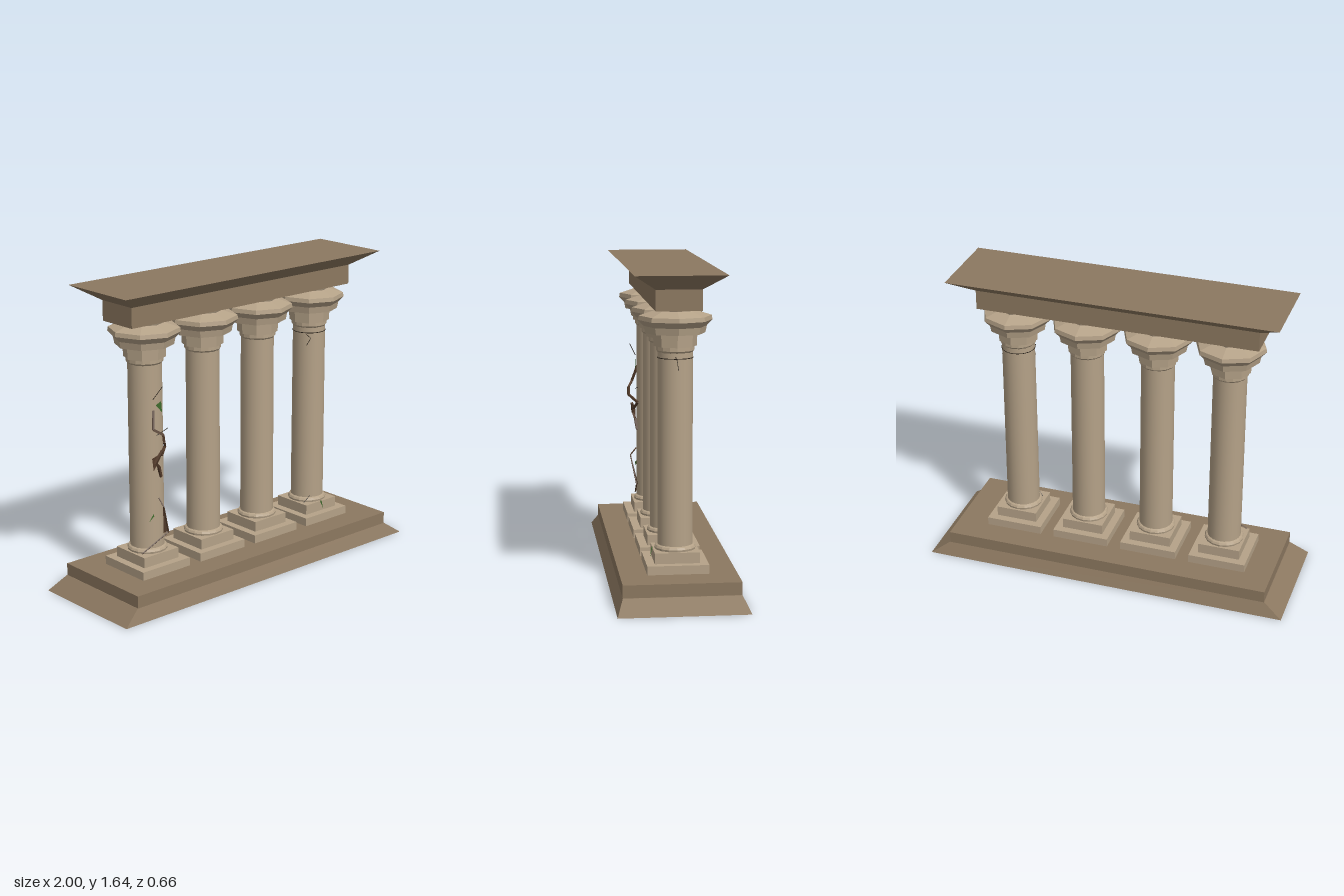
import * as THREE from 'three';

const mat = (name, color) => {
  const m = new THREE.MeshStandardMaterial({ color });
  m.name = name;
  return m;
};

export function createModel() {
  const stone = mat('brownStone', 0x8c7860);
  const pale = mat('paleStone', 0xb5a288);
  const bark = mat('vineBark', 0x553d2c);
  const green = mat('leafGreen', 0x3f6a2c);
  const dark = mat('crackDark', 0x2c251d);
  green.side = THREE.DoubleSide;
  bark.side = THREE.DoubleSide;

  const model = new THREE.Group();
  model.name = 'colonnade';

  const add = (parent, name, geometry, material, x = 0, y = 0, z = 0) => {
    const mesh = new THREE.Mesh(geometry, material);
    mesh.name = name;
    mesh.position.set(x, y, z);
    parent.add(mesh);
    return mesh;
  };
  const faceted = (geometry) => {
    const g = geometry.toNonIndexed();
    g.computeVertexNormals();
    return g;
  };
  // Box from y0 to y1 whose top and bottom have their own half sizes
  const slab = (y0, y1, bx, bz, tx = bx, tz = bz) => {
    const g = new THREE.BoxGeometry(2, 1, 2);
    const p = g.attributes.position;
    for (let i = 0; i < p.count; i++) {
      const top = p.getY(i) > 0;
      p.setXYZ(i, p.getX(i) * (top ? tx : bx), top ? y1 : y0, p.getZ(i) * (top ? tz : bz));
    }
    g.computeVertexNormals();
    return g;
  };
  const lathe = (points, sides) =>
    faceted(new THREE.LatheGeometry(points.map(([r, y]) => new THREE.Vector2(r, y)), sides));

  // Stepped base
  add(model, 'baseSkirt', slab(0, 0.07, 1, 0.328, 0.9, 0.295), stone);
  add(model, 'baseStep', slab(0.07, 0.135, 0.897, 0.295), stone);

  // Beam and flared cornice
  add(model, 'beam', slab(1.455, 1.56, 0.757, 0.115), stone, -0.007, 0, 0.003);
  add(model, 'cornice', slab(1.56, 1.637, 0.757, 0.115, 0.88, 0.227), stone, -0.007, 0, 0.003);

  // Four columns
  const columnX = [-0.594, -0.207, 0.181, 0.568];
  const shaft = new THREE.CylinderGeometry(0.088, 0.09, 1.02, 24, 1, true);
  const foot = lathe([[0.09, 0.235], [0.104, 0.235], [0.106, 0.245], [0.1, 0.255], [0.09, 0.26]], 16);
  const collar = lathe([[0.088, 1.235], [0.096, 1.245], [0.096, 1.265]], 16);
  const capital = lathe([
    [0, 1.265], [0.108, 1.265], [0.111, 1.33], [0.151, 1.33], [0.158, 1.365], [0.186, 1.395],
    [0.182, 1.417], [0.115, 1.438], [0.103, 1.443], [0.108, 1.456],
  ], 8);
  columnX.forEach((x) => {
    const column = new THREE.Group();
    column.name = 'column';
    column.position.set(x, 0, 0.002);
    model.add(column);
    add(column, 'lowerPlinth', slab(0.135, 0.18, 0.156, 0.156), pale);
    add(column, 'upperPlinth', slab(0.18, 0.235, 0.114, 0.114), pale);
    add(column, 'footRing', foot, pale);
    add(column, 'shaft', shaft, pale, 0, 0.755, 0);
    add(column, 'collar', collar, pale);
    add(column, 'capital', capital, pale);
  });

  // Straight rods joining a row of points
  const rods = (name, points, radius, material) => {
    const group = new THREE.Group();
    group.name = name;
    model.add(group);
    const v = points.map((p) => new THREE.Vector3(...p));
    for (let i = 1; i < v.length; i++) {
      const d = v[i].clone().sub(v[i - 1]);
      const g = faceted(new THREE.CylinderGeometry(radius, radius, d.length(), 4));
      const rod = add(group, name + 'Piece', g, material);
      rod.position.copy(v[i]).add(v[i - 1]).multiplyScalar(0.5);
      rod.quaternion.setFromUnitVectors(new THREE.Vector3(0, 1, 0), d.normalize());
    }
  };
  const triangle = (name, points, material) => {
    const g = new THREE.BufferGeometry();
    g.setAttribute('position', new THREE.Float32BufferAttribute(points.flat(), 3));
    g.computeVertexNormals();
    add(model, name, g, material);
  };

  // Broken vine climbing the first column
  rods('upperVine', [[-0.61, 1.0, 0.085], [-0.635, 0.91, 0.115], [-0.59, 0.88, 0.138],
    [-0.585, 0.84, 0.138], [-0.54, 0.8, 0.09], [-0.58, 0.76, 0.11]], 0.008, bark);
  rods('middleVine', [[-0.58, 0.79, 0.118], [-0.62, 0.73, 0.11], [-0.59, 0.7, 0.1],
    [-0.57, 0.64, 0.09]], 0.009, bark);
  rods('lowerVine', [[-0.59, 0.53, 0.095], [-0.585, 0.49, 0.128], [-0.53, 0.33, 0.098],
    [-0.7, 0.25, 0.09]], 0.004, bark);
  triangle('brokenVine', [[-0.59, 0.5, 0.128], [-0.56, 0.33, 0.095], [-0.528, 0.33, 0.09]], bark);
  triangle('vineScrap', [[-0.63, 0.75, 0.095], [-0.62, 0.68, 0.095], [-0.575, 0.78, 0.118]], bark);

  // Leaves
  triangle('leaf', [[-0.605, 1.03, 0.1], [-0.565, 0.985, 0.1], [-0.57, 1.045, 0.1]], green);
  triangle('leaf', [[-0.65, 0.41, 0.09], [-0.625, 0.44, 0.1], [-0.62, 0.45, 0.09]], green);
  triangle('leaf', [[0.56, 0.24, 0.115], [0.575, 0.19, 0.13], [0.567, 0.24, 0.122]], green);

  // Twigs and fine cracks
  rods('twig', [[-0.62, 1.06, 0.095], [-0.585, 1.13, 0.13]], 0.002, dark);
  rods('twig', [[-0.6, 0.87, 0.1], [-0.52, 0.89, 0.09]], 0.002, dark);
  rods('crack', [[0.49, 1.205, 0.055], [0.51, 1.18, 0.075], [0.495, 1.14, 0.06]], 0.0018, dark);
  rods('crack', [[0.656, 1.22, 0.01], [0.656, 1.2, 0.002], [0.659, 1.15, -0.005]], 0.0018, dark);
  rods('crack', [[0.48, 0.235, 0.07], [0.515, 0.27, 0.08]], 0.002, dark);
  const ring = add(model, 'ringCrack', new THREE.TorusGeometry(0.0895, 0.002, 4, 24), dark, 0.568, 1.208, 0.002);
  ring.rotation.x = Math.PI / 2;

  return model;
}
